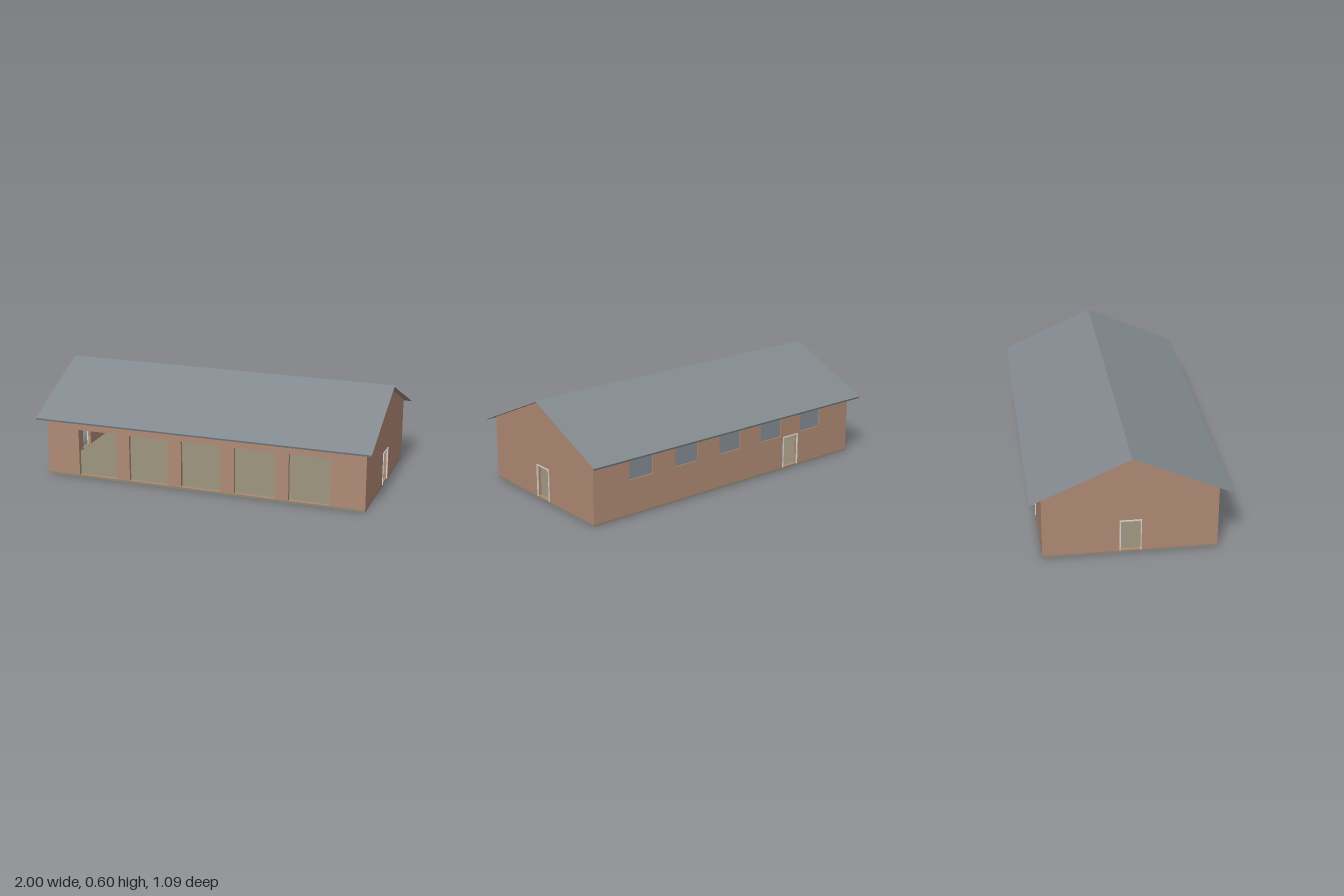
import * as THREE from 'three';

const material = (name, color) => new THREE.MeshStandardMaterial({ name, color });

export function createModel() {
  const brick = material('wallBrown', 0xaf8974);
  const roofGrey = material('roofGrey', 0x82898e);
  const soffit = material('roofUnderside', 0x8f8a85);
  const concrete = material('floorConcrete', 0x8e8773);
  const glass = material('windowGlass', 0x828b91);
  const trim = material('doorTrim', 0xd6d6d3);

  const HX = 0.96, HZ = 0.48, FLOOR = 0.012, EAVE = 0.38, RIDGE = 0.588, T = 0.02;
  const bays = [-0.64, -0.32, 0, 0.32, 0.64];
  const model = new THREE.Group();
  model.name = 'longShed';

  const add = (name, geometry, mat) => {
    const mesh = new THREE.Mesh(geometry, mat);
    mesh.name = name;
    model.add(mesh);
    return mesh;
  };
  const outline = (points, Type = THREE.Shape) => {
    const p = new Type();
    points.forEach(([x, y], i) => (i ? p.lineTo(x, y) : p.moveTo(x, y)));
    p.closePath();
    return p;
  };
  const rect = (cx, w, y0, y1, Type = THREE.Path) => outline(
    [[cx - w / 2, y0], [cx + w / 2, y0], [cx + w / 2, y1], [cx - w / 2, y1]], Type);
  const slab = (shape, depth) =>
    new THREE.ExtrudeGeometry(shape, { depth, bevelEnabled: false });

  // Floor slab
  add('floorSlab', new THREE.BoxGeometry(HX * 2, FLOOR, HZ * 2), concrete).position.y = FLOOR / 2;

  // Front wall with five open bays, set between the gables
  const front = rect(0, (HX - T) * 2, FLOOR, EAVE, THREE.Shape);
  bays.forEach(x => front.holes.push(rect(x, 0.24, FLOOR + 0.002, 0.29)));
  add('frontWall', slab(front, T), brick).position.z = HZ - T;

  // Back wall with five windows and a doorway
  const back = rect(0, (HX - T) * 2, FLOOR, EAVE, THREE.Shape);
  bays.forEach(x => back.holes.push(rect(x, 0.16, 0.21, 0.32)));
  back.holes.push(rect(-0.48, 0.11, FLOOR + 0.002, 0.2));
  add('backWall', slab(back, T), brick).position.z = -HZ;
  bays.forEach(x =>
    add('windowPane', new THREE.BoxGeometry(0.16, 0.11, 0.006), glass)
      .position.set(x, 0.265, -HZ + T / 2));

  // Gable walls, each with a central doorway
  const gable = outline([[-HZ, FLOOR], [HZ, FLOOR], [HZ, EAVE], [0, RIDGE], [-HZ, EAVE]]);
  gable.holes.push(rect(0, 0.11, FLOOR + 0.002, 0.2));
  const gableGeometry = slab(gable, T).rotateY(Math.PI / 2);
  add('leftGable', gableGeometry, brick).position.x = HX - T;
  add('rightGable', gableGeometry, brick).position.x = -HX;

  // Shallow door frames, standing slightly proud of the walls
  const frame = outline([[-0.06, FLOOR], [-0.054, FLOOR], [-0.054, 0.198], [0.054, 0.198],
    [0.054, FLOOR], [0.06, FLOOR], [0.06, 0.204], [-0.06, 0.204]]);
  const frameGeometry = slab(frame, 0.008).translate(0, 0, -0.003);
  [[HX, 0, Math.PI / 2], [-HX, 0, -Math.PI / 2], [-0.48, -HZ, Math.PI]].forEach(([x, z, turn]) => {
    const f = add('doorFrame', frameGeometry, trim);
    f.position.set(x, 0, z);
    f.rotation.y = turn;
  });

  // Roof sheets: lines of (z, y) swept along x, with open ends
  const sweep = line => {
    const points = [];
    line.slice(1).forEach(([z2, y2], i) => {
      const [z, y] = line[i];
      points.push(-1, y, z, 1, y, z, 1, y2, z2, -1, y, z, 1, y2, z2, -1, y2, z2);
    });
    const geometry = new THREE.BufferGeometry();
    geometry.setAttribute('position', new THREE.Float32BufferAttribute(points, 3));
    geometry.computeVertexNormals();
    return geometry;
  };
  add('roof', sweep([[0.541, 0.347], [0.545, 0.358], [0, 0.598],
    [-0.545, 0.358], [-0.541, 0.347]]), roofGrey);
  add('roofUnderside', sweep([[-0.541, 0.347], [0, 0.587], [0.541, 0.347]]), soffit);

  return model;
}
